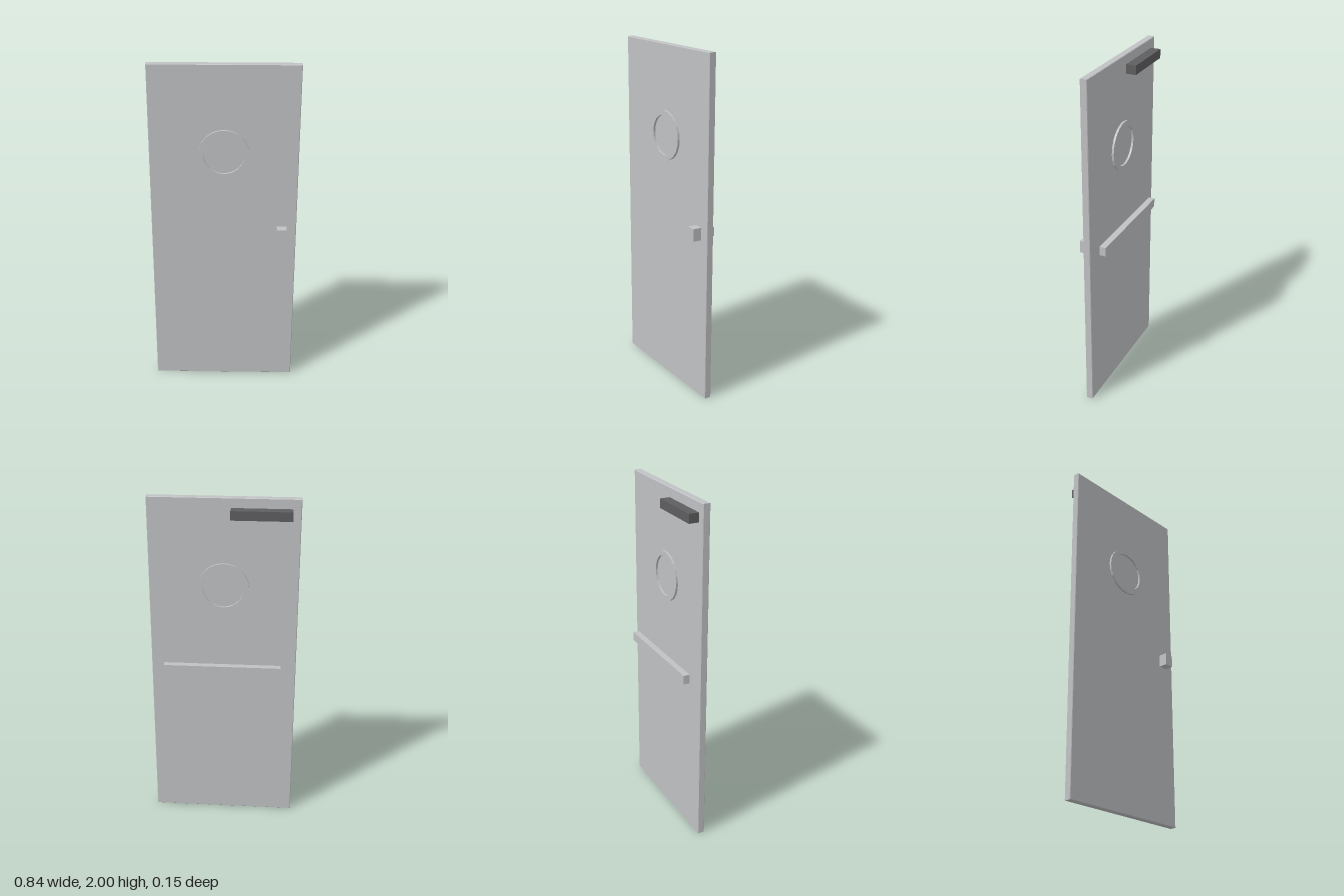
import * as THREE from 'three';

const steel = new THREE.MeshStandardMaterial({ color: 0xc0c1c3 });
steel.name = 'steel';
const darkMetal = new THREE.MeshStandardMaterial({ color: 0x5e5e60 });
darkMetal.name = 'darkMetal';

// Axis-aligned box from its lower and upper bounds
function box(name, material, [x0, x1], [y0, y1], [z0, z1]) {
  const mesh = new THREE.Mesh(new THREE.BoxGeometry(x1 - x0, y1 - y0, z1 - z0), material);
  mesh.position.set((x0 + x1) / 2, (y0 + y1) / 2, (z0 + z1) / 2);
  mesh.name = name;
  return mesh;
}

// Slab with a fine chamfer around its edges
function doorLeaf(width, height, z0, z1, bevel) {
  const w = width / 2 - bevel;
  const shape = new THREE.Shape([
    new THREE.Vector2(-w, bevel), new THREE.Vector2(w, bevel),
    new THREE.Vector2(w, height - bevel), new THREE.Vector2(-w, height - bevel),
  ]);
  const geometry = new THREE.ExtrudeGeometry(shape, {
    depth: z1 - z0 - 2 * bevel, bevelEnabled: true,
    bevelSize: bevel, bevelThickness: bevel, bevelSegments: 1,
  });
  geometry.translate(0, 0, z0 + bevel);
  const mesh = new THREE.Mesh(geometry, steel);
  mesh.name = 'doorLeaf';
  return mesh;
}

// Faceted ring standing out from a door face
function windowRing(name, z0, z1) {
  const circle = (radius) => Array.from({ length: 24 }, (_, i) => {
    const a = (i / 24) * Math.PI * 2;
    return new THREE.Vector2(radius * Math.cos(a), radius * Math.sin(a));
  });
  const shape = new THREE.Shape(circle(0.143));
  shape.holes.push(new THREE.Path(circle(0.116)));
  const geometry = new THREE.ExtrudeGeometry(shape, { depth: z1 - z0, bevelEnabled: false });
  const mesh = new THREE.Mesh(geometry, steel);
  mesh.position.set(0, 1.488, z0);
  mesh.name = name;
  return mesh;
}

export function createModel() {
  const door = new THREE.Group();
  door.name = 'door';
  const back = -0.018, front = 0.023;

  door.add(doorLeaf(0.84, 2, back, front, 0.003));

  // Round window trim on both faces
  door.add(windowRing('frontWindowRing', front, 0.036));
  door.add(windowRing('backWindowRing', -0.03, back));

  // Hardware: front handle, back push bar and closer
  door.add(box('handle', steel, [0.307, 0.363], [0.965, 1.038], [front, 0.073]));
  door.add(box('pushBar', steel, [-0.332, 0.344], [0.965, 1.018], [-0.076, -0.039]));
  door.add(box('doorCloser', darkMetal, [-0.375, -0.04], [1.893, 1.945], [-0.076, back]));
  return door;
}
